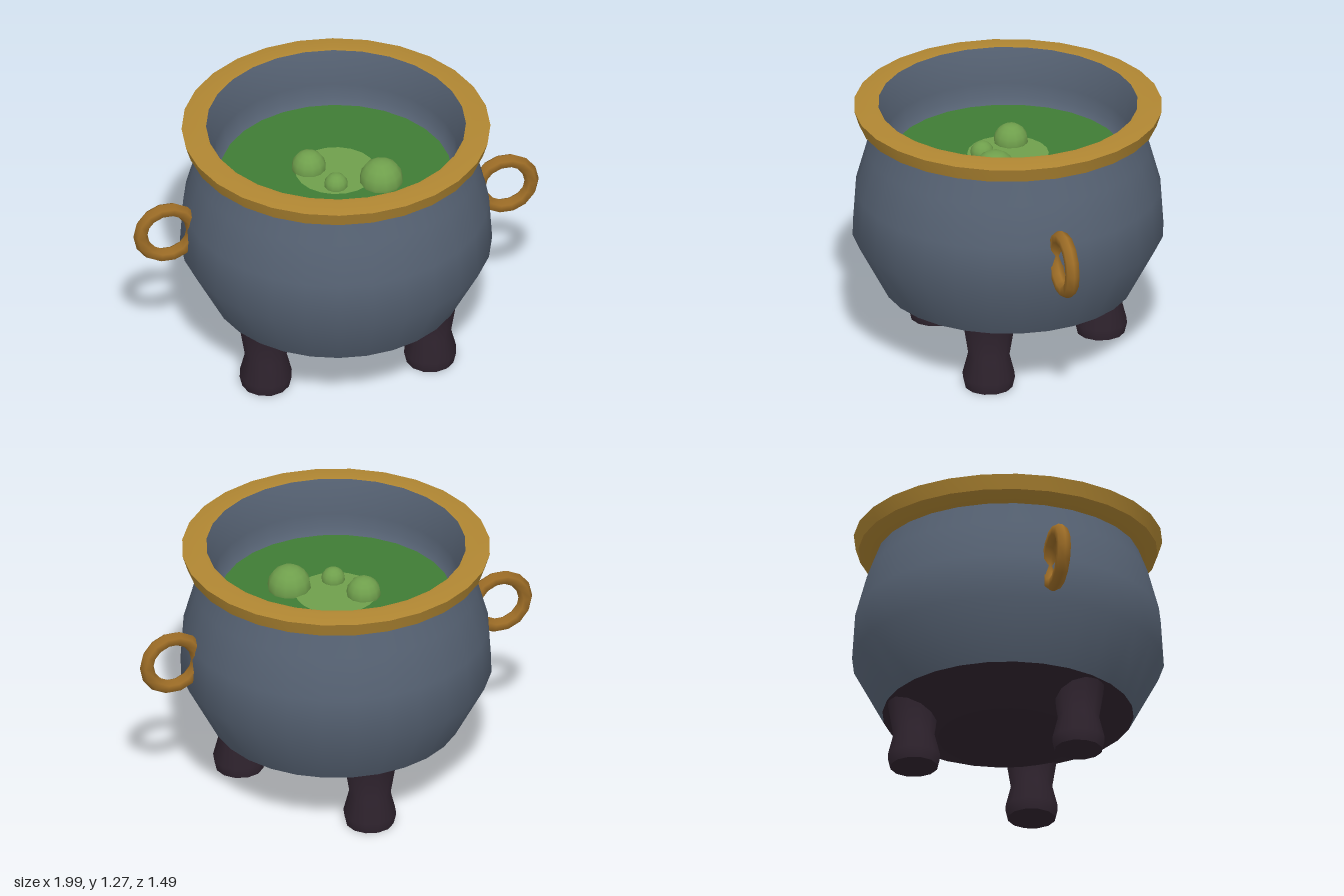
import * as THREE from 'three';
import { toCreasedNormals } from 'three/addons/utils/BufferGeometryUtils.js';

const SEGMENTS = 28;

function material(name, color) {
  const m = new THREE.MeshStandardMaterial({ color });
  m.name = name;
  return m;
}

function lathe(points, segments = SEGMENTS) {
  return new THREE.LatheGeometry(points.map(([r, y]) => new THREE.Vector2(r, y)), segments);
}

export function createModel() {
  const iron = material('blue grey iron', 0x566273);
  const darkIron = material('dark iron', 0x30242f);
  const gold = material('gold', 0xb08632);
  const bronze = material('bronze', 0x9c6c26);
  const brew = material('green brew', 0x3f7c35);
  const foam = material('light green foam', 0x6f9f4c);

  const model = new THREE.Group();
  model.name = 'cauldron';

  function add(name, geometry, mat, x = 0, y = 0, z = 0) {
    const mesh = new THREE.Mesh(geometry, mat);
    mesh.name = name;
    mesh.position.set(x, y, z);
    model.add(mesh);
    return mesh;
  }

  // Pot: outer wall, inner wall and dark base
  add('potWall', lathe([[0.6, 0.335], [0.745, 0.61], [0.73, 0.84], [0.675, 1.04], [0.63, 1.155], [0.625, 1.2]]), iron);
  add('innerWall', lathe([[0.625, 1.273], [0.6, 1.2], [0.585, 1.1], [0.58, 1.03], [0.55, 0.995]]), iron);
  add('potBase', toCreasedNormals(lathe([[0, 0.213], [0.335, 0.213], [0.6, 0.335]]), 0.3), darkIron);

  // Flared rim
  const rim = lathe([[0.62, 1.155], [0.64, 1.155], [0.715, 1.19], [0.737, 1.26], [0.64, 1.275], [0.62, 1.273]]);
  add('rim', toCreasedNormals(rim, 0.6), gold);

  // Brew surface with a patch of foam
  add('brew', new THREE.CircleGeometry(0.56, SEGMENTS).rotateX(-Math.PI / 2), brew, 0, 1, 0);
  add('foamPatch', new THREE.CircleGeometry(0.195, 20).rotateX(-Math.PI / 2), foam, 0, 1.006, 0);

  // Bubbles: x, z, radius
  for (const [x, z, r] of [[-0.12, -0.055, 0.083], [-0.03, 0.12, 0.057], [0.19, 0.13, 0.105]]) {
    add('bubble', new THREE.SphereGeometry(r, 12, 8), foam, x, 1.015, z);
  }

  // Ring handles on both sides
  for (const side of [1, -1]) {
    add(side > 0 ? 'leftHandle' : 'rightHandle', new THREE.TorusGeometry(0.13, 0.035, 6, 14), bronze, side * 0.832, 0.79, 0);
  }

  // Three waisted legs, one at the back
  const legShape = toCreasedNormals(
    lathe([[0, 0], [0.115, 0], [0.128, 0.055], [0.1, 0.165], [0.127, 0.33], [0, 0.33]], 12), 0.9);
  for (let i = 0; i < 3; i++) {
    const angle = Math.PI + i * Math.PI * 2 / 3;
    add('leg', legShape, darkIron, Math.sin(angle) * 0.467, 0, Math.cos(angle) * 0.467);
  }

  return model;
}
